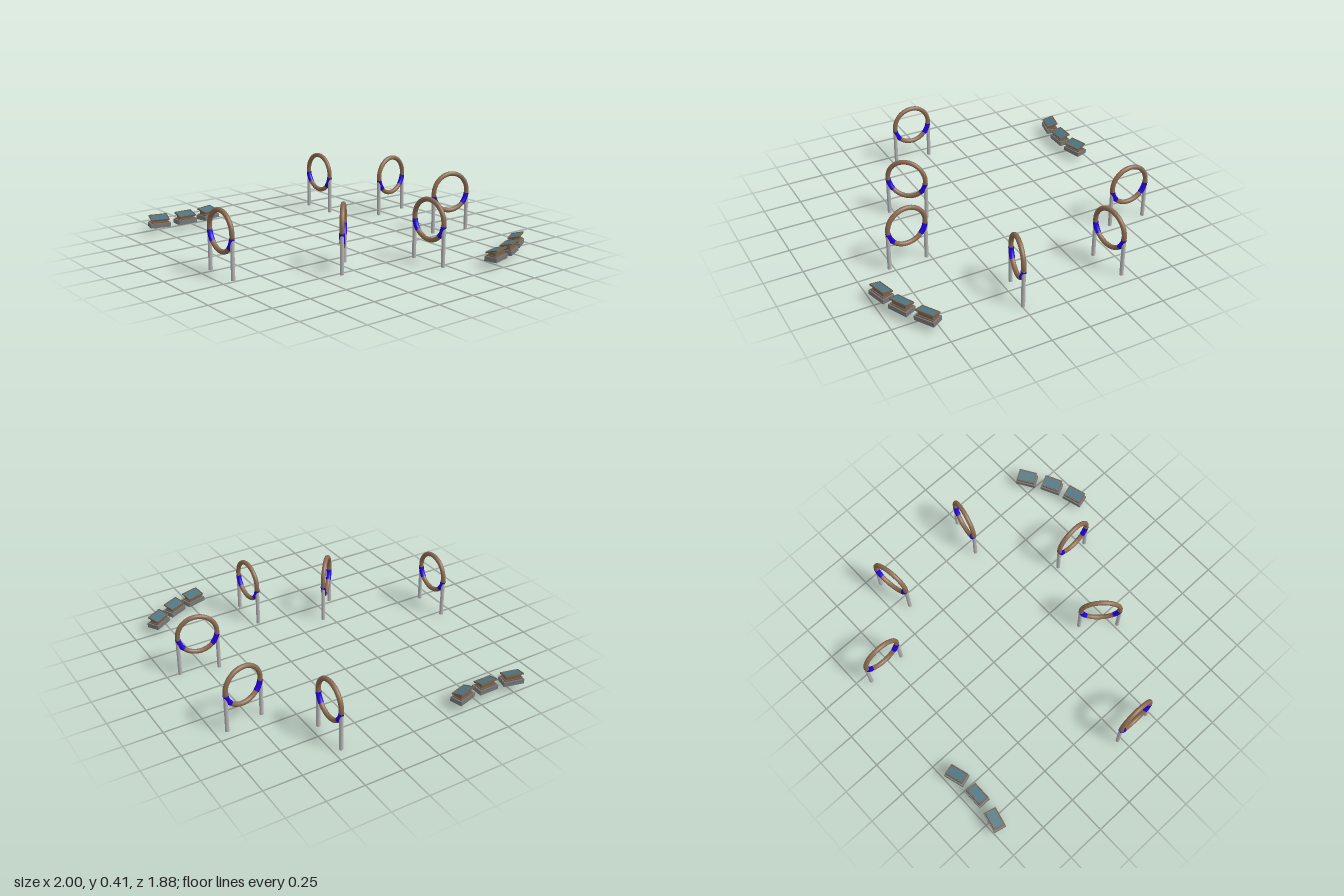
import * as THREE from 'three';

const mat = (color) => new THREE.MeshStandardMaterial({ color });
const WOOD = mat(0x8a6a50), BLUE = mat(0x2200dd), METAL = mat(0xb4b4b4);
const STONE = mat(0x777777), TRIM = mat(0x75604c), PANEL = mat(0x4f7480);

function add(parent, name, geometry, material, x = 0, y = 0, z = 0) {
  const mesh = new THREE.Mesh(geometry, material);
  mesh.name = name;
  mesh.position.set(x, y, z);
  parent.add(mesh);
  return mesh;
}

// Ring held upright by two posts with blue clamps
function makeHoop() {
  const hoop = new THREE.Group();
  const R = 0.125, cy = 0.27;
  add(hoop, 'ring', new THREE.TorusGeometry(R, 0.0152, 16, 64), WOOD, 0, cy);
  for (const side of [-1, 1]) {
    add(hoop, 'post', new THREE.CylinderGeometry(0.0125, 0.0125, 0.25, 20), METAL, side * 0.126, 0.125);
    const arc = 0.6;
    const clamp = add(hoop, 'clamp', new THREE.TorusGeometry(R, 0.0168, 16, 12, arc), BLUE, 0, cy);
    clamp.rotation.z = side > 0 ? -0.14 - arc : Math.PI + 0.14;
    clamp.material.side = THREE.DoubleSide;
  }
  return hoop;
}

// Slab with a small stepped pedestal and a tilted framed top, high on local -x
function makeStand() {
  const stand = new THREE.Group();
  add(stand, 'slab', new THREE.BoxGeometry(0.083, 0.03, 0.135), STONE, 0, 0.054);
  add(stand, 'plinth', new THREE.BoxGeometry(0.066, 0.007, 0.115), TRIM, 0, 0.072);
  add(stand, 'pedestal', new THREE.BoxGeometry(0.05, 0.02, 0.1), TRIM, 0, 0.084);

  const top = new THREE.Group();
  top.name = 'tiltedTop';
  top.position.y = 0.098;
  top.rotation.z = -0.26;
  add(top, 'board', new THREE.BoxGeometry(0.078, 0.006, 0.122), TRIM);
  add(top, 'panel', new THREE.BoxGeometry(0.064, 0.003, 0.108), PANEL, 0, 0.0035);
  for (const s of [-1, 1]) {
    add(top, 'longRim', new THREE.BoxGeometry(0.005, 0.006, 0.122), TRIM, s * 0.0365, 0.004);
    add(top, 'shortRim', new THREE.BoxGeometry(0.078, 0.006, 0.005), TRIM, 0, 0.004, s * 0.0585);
  }
  stand.add(top);
  return stand;
}

export function createModel() {
  const model = new THREE.Group();
  model.name = 'hoopCourse';

  // Hoops: x, z, then the direction of the ring's width
  const hoops = [
    [-0.41, -0.80, 0.04, 0.25],
    [0.217, -0.79, -0.055, 0.25],
    [-0.79, -0.447, 1, 0],
    [0.65, -0.21, 1, -0.035],
    [0.43, 0.275, 0.185, 0.16],
    [0.10, 0.92, 1, 0],
  ];
  for (const [x, z, dx, dz] of hoops) {
    const hoop = makeHoop();
    hoop.name = 'hoop';
    hoop.position.set(x, 0, z);
    hoop.rotation.y = Math.atan2(-dz, dx);
    model.add(hoop);
  }

  // Stands: x, z, then the direction of the long side; tops slope to the middle
  const stands = [
    [-0.93, 0.405, 7, 24],
    [-0.92, 0.585, 0, 1],
    [-0.943, 0.77, -6, 25],
    [0.80, -0.81, 13, 21.5],
    [0.89, -0.655, 10, 21],
    [0.945, -0.49, 6.5, 24],
  ];
  for (const [x, z, dx, dz] of stands) {
    const stand = makeStand();
    stand.name = 'stand';
    stand.position.set(x, 0, z);
    stand.rotation.y = Math.atan2(dx, dz) + (x > 0 ? Math.PI : 0);
    model.add(stand);
  }
  return model;
}
